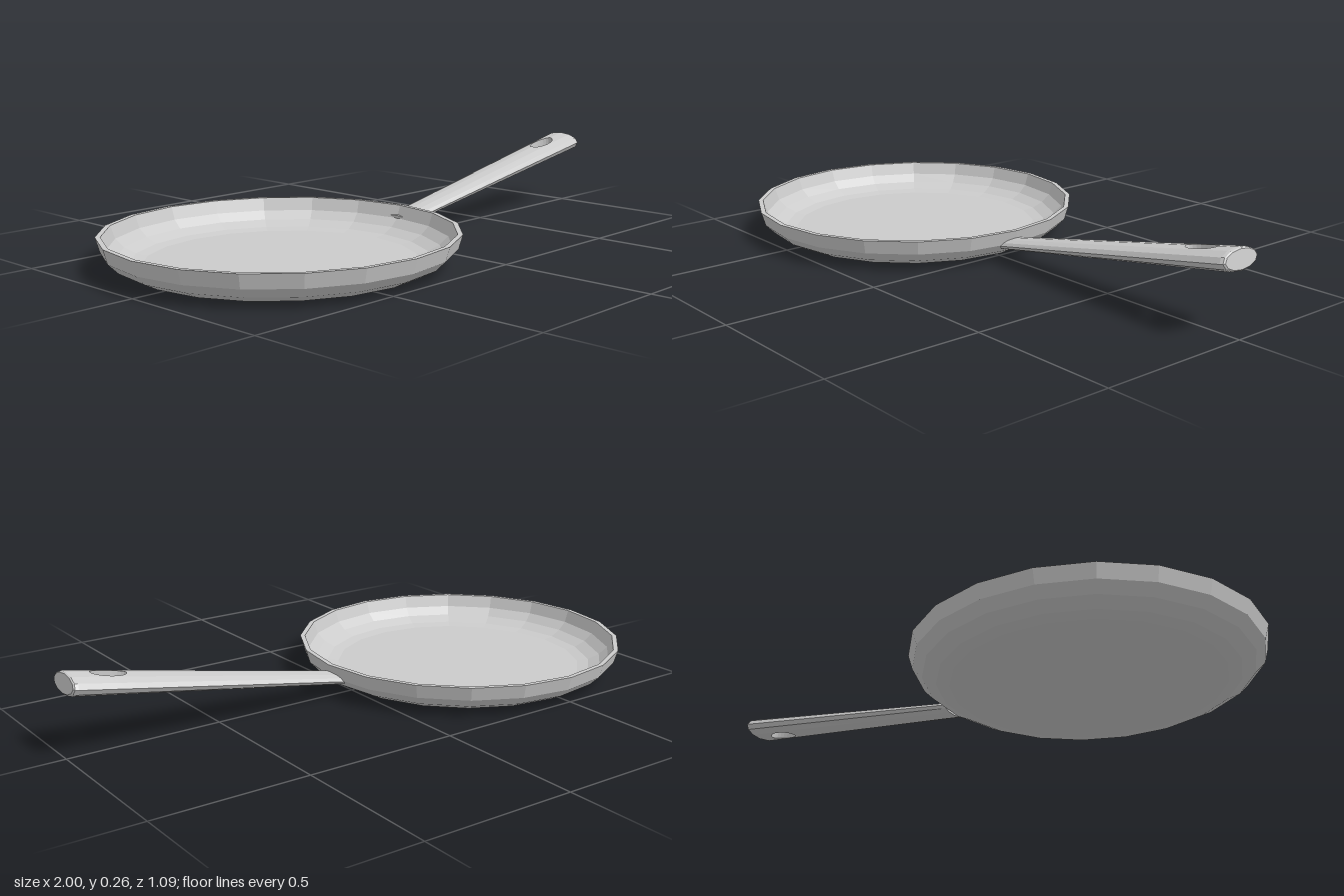
import * as THREE from 'three';

const metal = new THREE.MeshStandardMaterial({ color: 0xcccccc, flatShading: true });

// Shallow dish: one closed profile, turned with 20 sides
function createDish() {
  const profile = [
    [0, 0], [0.42, 0], [0.46, 0.008], [0.503, 0.03], [0.533, 0.06], [0.546, 0.105], // outside
    [0.53, 0.105], [0.516, 0.064], [0.489, 0.038], [0.452, 0.02], [0.415, 0.014], [0, 0.014], // inside
  ].map(([r, y]) => new THREE.Vector2(r, y));
  const dish = new THREE.Mesh(new THREE.LatheGeometry(profile, 20), metal);
  dish.name = 'dish';
  dish.position.x = -0.454;
  return dish;
}

// Tapered oval handle along +x, made of two mirrored halves around the hanging hole
function createHandle() {
  const hole = { x: 0.813, a: 0.057, b: 0.03 };
  const steps = 12, halfSides = 6;
  const lerp = THREE.MathUtils.lerp;

  // Stations: x, half width, half height, half width of the hole
  const station = (x, inset = 0, e = 0) => ({
    x, e,
    w: lerp(0.052, 0.0745, x / 0.945) - inset,
    h: lerp(0.018, 0.0335, Math.min(1, x / 0.945)) - inset * 0.6,
  });
  const stations = [station(0), station(0.4)];
  for (let i = 0; i <= steps; i++) {
    const t = (i / steps) * Math.PI;
    const e = i % steps === 0 ? 0 : hole.b * Math.sin(t);
    stations.push(station(hole.x - hole.a * Math.cos(t), 0, e));
  }
  stations.push(station(0.932), station(0.942, 0.003), station(0.946, 0.009));

  // Half cross-section from the top, round the outside, to the bottom
  const section = ({ x, w, h, e }, side) => {
    const points = [];
    for (let j = 0; j <= halfSides; j++) {
      const a = (j / halfSides) * Math.PI;
      let y = h * Math.cos(a), z = w * Math.sin(a);
      if (j === 0 || j === halfSides) {
        // Keep the hole's edge on the first facet
        const f = e / (w * Math.sin(Math.PI / halfSides));
        y = Math.sign(y) * h * lerp(1, Math.cos(Math.PI / halfSides), f);
        z = e;
      }
      points.push([x, y, z * side]);
    }
    return points;
  };

  const position = [];
  for (const side of [1, -1]) {
    const tri = (a, b, c) => position.push(...a, ...(side > 0 ? b : c), ...(side > 0 ? c : b));
    const rings = stations.map((s) => section(s, side));
    const n = halfSides + 1;
    for (let i = 0; i < rings.length - 1; i++) {
      const inHole = stations[i].e > 0 || stations[i + 1].e > 0;
      // The closing strip of each loop is the wall of the hole
      for (let j = 0; j < (inHole ? n : n - 1); j++) {
        const k = (j + 1) % n;
        tri(rings[i][j], rings[i][k], rings[i + 1][j]);
        tri(rings[i][k], rings[i + 1][k], rings[i + 1][j]);
      }
    }
    // End caps
    const first = rings[0], last = rings[rings.length - 1];
    for (let j = 1; j < n - 1; j++) {
      tri(first[0], first[j + 1], first[j]);
      tri(last[0], last[j], last[j + 1]);
    }
  }
  const geometry = new THREE.BufferGeometry();
  geometry.setAttribute('position', new THREE.Float32BufferAttribute(position, 3));
  geometry.computeVertexNormals();

  const handle = new THREE.Mesh(geometry, metal);
  handle.name = 'handle';
  handle.position.set(0.062, 0.056, 0);
  handle.rotation.z = THREE.MathUtils.degToRad(10.4);
  return handle;
}

export function createModel() {
  const model = new THREE.Group();
  model.name = 'fryingPan';
  model.add(createDish(), createHandle());
  return model;
}
